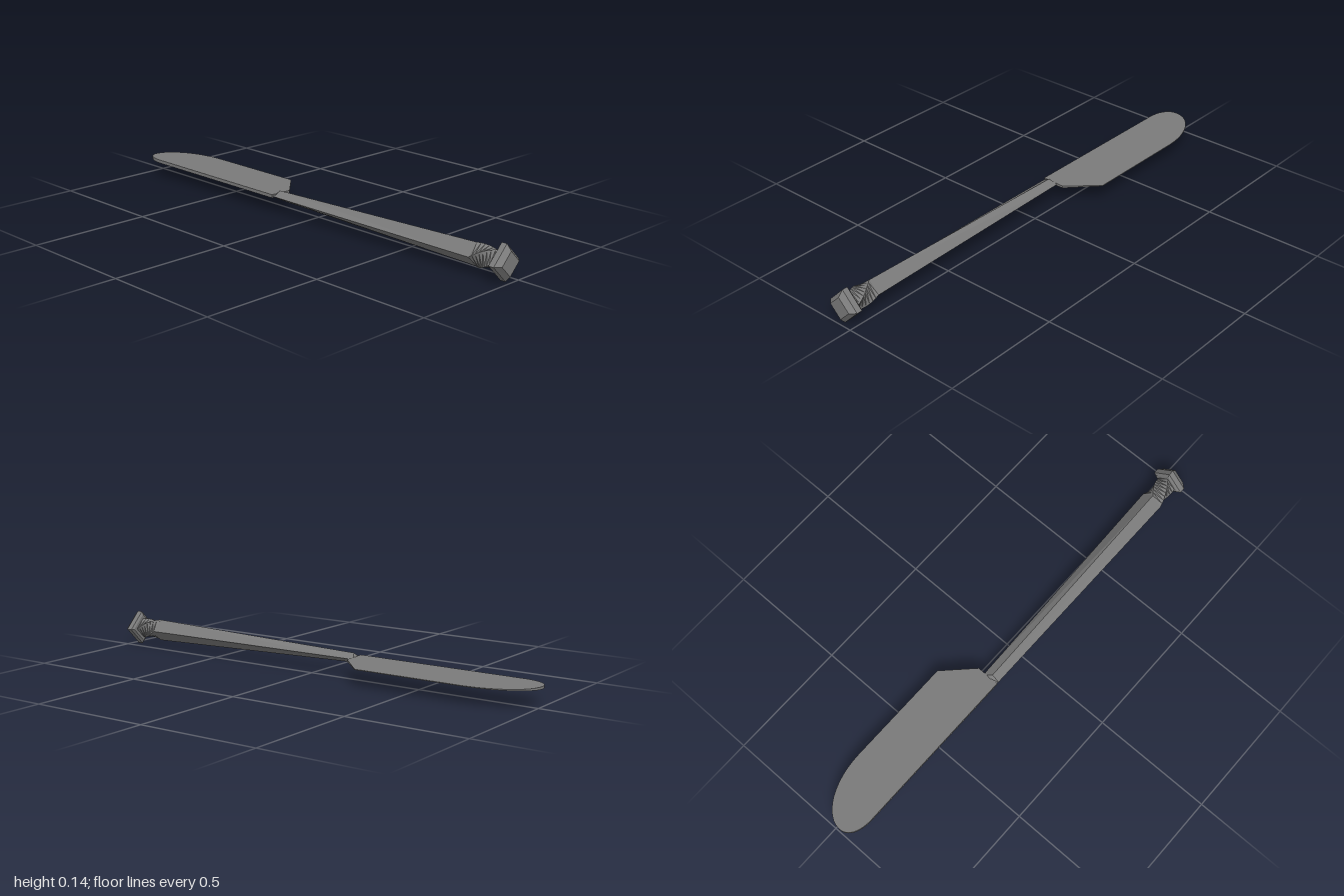
import * as THREE from 'three';

const AXIS_Y = 0.071;

// Lofts four-sided diamond sections { x, z, rx, ry, turn } in order of rising z.
function loftDiamonds(sections) {
  const pos = [], index = [];
  for (const { x, z, rx, ry, turn = 0 } of sections) {
    for (let k = 0; k < 4; k++) {
      const a = k * Math.PI / 2;
      const u = rx * Math.cos(a), v = ry * Math.sin(a);
      const c = Math.cos(turn), s = Math.sin(turn);
      pos.push(x + u * c - v * s, AXIS_Y + u * s + v * c, z);
    }
  }
  for (let i = 0; i < sections.length - 1; i++) {
    for (let k = 0; k < 4; k++) {
      const a = i * 4 + k, b = i * 4 + (k + 1) % 4;
      index.push(a, b, b + 4, a, b + 4, a + 4);
    }
  }
  const e = (sections.length - 1) * 4;
  index.push(0, 2, 1, 0, 3, 2, e, e + 1, e + 2, e, e + 2, e + 3);
  const geo = new THREE.BufferGeometry();
  geo.setAttribute('position', new THREE.Float32BufferAttribute(pos, 3));
  geo.setIndex(index);
  geo.computeVertexNormals();
  return geo;
}

// Flat blade outline, thick at the spine and thin at the cutting edge.
function bladeGeometry() {
  const s = new THREE.Shape();
  s.moveTo(-0.097, 0.17);
  s.lineTo(0, 0.17);
  s.lineTo(0.117, 0.285);
  s.lineTo(0.117, 0.74);
  s.bezierCurveTo(0.117, 0.88, 0.05, 1, -0.03, 1);
  s.bezierCurveTo(-0.07, 1, -0.097, 0.96, -0.097, 0.89);
  s.closePath();
  const geo = new THREE.ExtrudeGeometry(s, { depth: 1, bevelEnabled: false, curveSegments: 12 });
  geo.translate(0, 0, -0.5);
  geo.rotateX(-Math.PI / 2);
  const p = geo.attributes.position;
  for (let i = 0; i < p.count; i++) {
    const t = (p.getX(i) + 0.097) / 0.214;
    p.setY(i, AXIS_Y + Math.sign(p.getY(i)) * THREE.MathUtils.lerp(0.007, 0.0015, t));
  }
  geo.computeVertexNormals();
  return geo;
}

export function createModel() {
  const group = new THREE.Group();
  const steel = new THREE.MeshStandardMaterial({ color: 0x7a7a7a, flatShading: true });
  steel.name = 'grey steel';
  const add = (name, geo) => {
    const mesh = new THREE.Mesh(geo, steel);
    mesh.name = name;
    group.add(mesh);
  };

  add('blade', bladeGeometry());

  // Tapering diamond grip with a short chamfer onto the blade
  add('handle', loftDiamonds([
    { x: -0.063, z: -0.175, rx: 0.03, ry: 0.006 },
    { x: -0.063, z: -0.16, rx: 0.033, ry: 0.019 },
    { x: -0.051, z: 0.85, rx: 0.046, ry: 0.045 },
  ]));

  // Quarter-turn twist between grip and pommel
  const twist = [];
  for (let i = 0; i <= 8; i++) {
    const t = i / 8, r = THREE.MathUtils.lerp(0.0455, 0.041, t);
    twist.push({ x: -0.051 + 0.002 * t, z: 0.85 + 0.102 * t, rx: r, ry: r, turn: -t * Math.PI / 2 });
  }
  add('twistedNeck', loftDiamonds(twist));

  // Bevelled square pommel standing on its corner
  add('pommel', loftDiamonds([[0.95, 0.058], [0.957, 0.07], [0.98, 0.07], [1, 0.048]]
    .map(([z, r]) => ({ x: -0.048, z, rx: r, ry: r + 0.001 * (r === 0.07) }))));

  return group;
}
